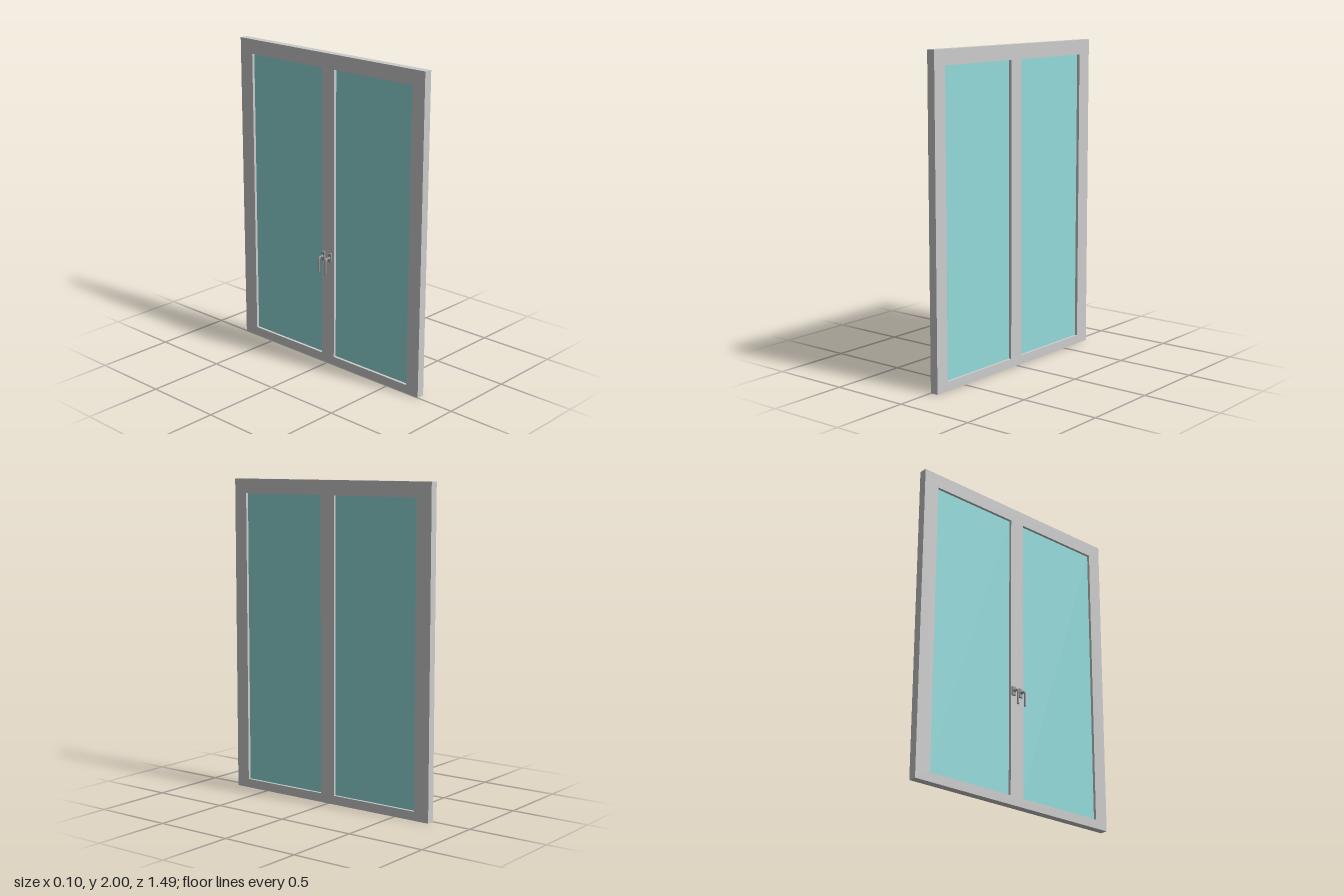
import * as THREE from 'three';
import { RoundedBoxGeometry } from 'three/addons/geometries/RoundedBoxGeometry.js';

const DEPTH = 0.052;
const HALF_WIDTH = 0.745;
const HEIGHT = 2;
const SILL = 0.056, HEAD = 1.908;
// z range of each glazed opening
const OPENINGS = [[0.056, 0.654], [-0.643, -0.045]];

function addMesh(parent, name, geometry, material) {
  const mesh = new THREE.Mesh(geometry, material);
  mesh.name = name;
  parent.add(mesh);
  return mesh;
}

function rectangle(path, a0, b0, a1, b1) {
  return path.moveTo(a0, b0).lineTo(a1, b0).lineTo(a1, b1).lineTo(a0, b1).closePath();
}

// Lever handle: back plate, collar and a bar that bends downwards
function createHandle(name, material) {
  const handle = new THREE.Group();
  handle.name = name;
  const y = 0.72;

  addMesh(handle, 'backPlate', new RoundedBoxGeometry(0.012, 0.06, 0.028, 3, 0.004), material)
    .position.set(-0.006, y, 0);

  const collar = new THREE.CylinderGeometry(0.009, 0.009, 0.016, 20).rotateZ(Math.PI / 2);
  addMesh(handle, 'collar', collar, material).position.set(-0.02, y, 0);

  const bar = new THREE.CurvePath();
  const x = -0.046, bend = 0.016, end = 0.626, r = 0.007;
  const point = (px, py) => new THREE.Vector3(px, py, 0);
  bar.add(new THREE.LineCurve3(point(-0.008, y), point(x + bend, y)));
  bar.add(new THREE.QuadraticBezierCurve3(point(x + bend, y), point(x, y), point(x, y - bend)));
  bar.add(new THREE.LineCurve3(point(x, y - bend), point(x, end)));
  addMesh(handle, 'lever', new THREE.TubeGeometry(bar, 40, r, 14), material);

  const cap = new THREE.CylinderGeometry(r, r * 0.8, 0.003, 14);
  addMesh(handle, 'leverEnd', cap, material).position.set(x, end - 0.0015, 0);
  return handle;
}

export function createModel() {
  const model = new THREE.Group();
  model.name = 'doubleWindow';
  const frameMaterial = new THREE.MeshStandardMaterial({ color: 0xcccccc });
  const glassMaterial = new THREE.MeshStandardMaterial({ color: 0x93dada });
  const handleMaterial = new THREE.MeshStandardMaterial({ color: 0x999999 });

  // Frame with two openings, drawn in z and y and extruded through its depth
  const outline = rectangle(new THREE.Shape(), -HALF_WIDTH, 0, HALF_WIDTH, HEIGHT);
  for (const [z0, z1] of OPENINGS) {
    outline.holes.push(rectangle(new THREE.Path(), z0, SILL, z1, HEAD));
  }
  const frame = new THREE.ExtrudeGeometry(outline, { depth: DEPTH, bevelEnabled: false });
  frame.rotateY(-Math.PI / 2).translate(DEPTH, 0, 0);
  addMesh(model, 'frame', frame, frameMaterial);

  // Glass panes set midway in the depth
  OPENINGS.forEach(([z0, z1], i) => {
    const pane = new THREE.BoxGeometry(0.016, HEAD - SILL, z1 - z0);
    addMesh(model, i ? 'rearPane' : 'frontPane', pane, glassMaterial)
      .position.set(DEPTH / 2, (SILL + HEAD) / 2, (z0 + z1) / 2);
  });

  // One handle on each side of the middle post
  for (const side of [1, -1]) {
    const handle = createHandle(side > 0 ? 'frontHandle' : 'rearHandle', handleMaterial);
    handle.position.z = side * 0.028;
    model.add(handle);
  }
  return model;
}
